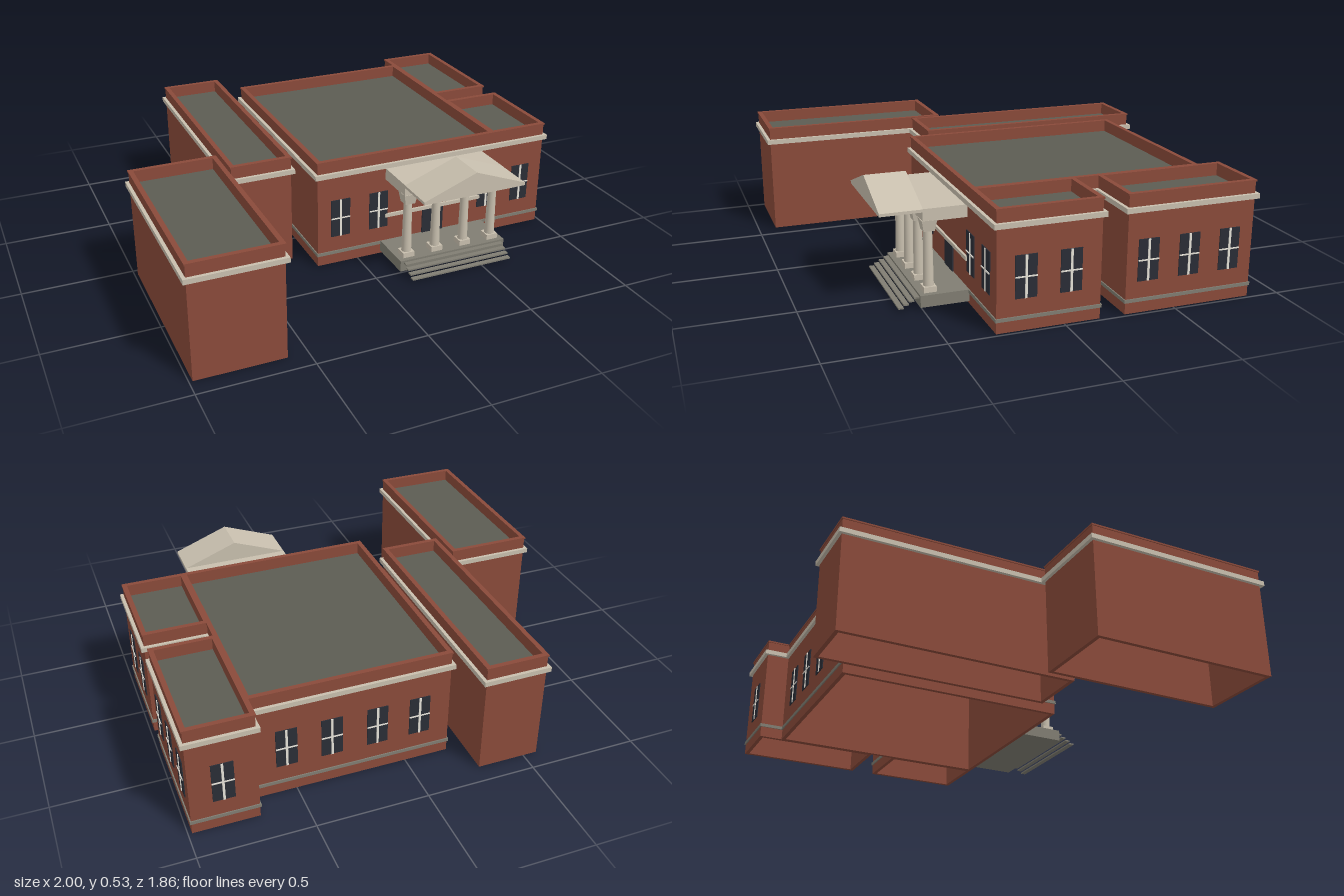
import * as THREE from 'three';

const mat = (name, color, side = THREE.FrontSide) => {
  const m = new THREE.MeshStandardMaterial({ color, side });
  m.name = name;
  return m;
};

export function createModel() {
  const brick = mat('brick red', 0x8a4a3a);
  const stone = mat('pale stone', 0xc8bfae);
  const grey = mat('grey stone', 0x807d72);
  const roofing = mat('roof grey', 0x5c5c52, THREE.DoubleSide);
  const glass = mat('dark glass', 0x2a2d36);
  const white = mat('window bars', 0xe8e4da);

  const model = new THREE.Group();
  model.name = 'columnedBuilding';

  const add = (parent, name, geometry, material, x = 0, y = 0, z = 0) => {
    const mesh = new THREE.Mesh(geometry, material);
    mesh.name = name;
    mesh.position.set(x, y, z);
    parent.add(mesh);
    return mesh;
  };
  // Box given by its limits on each axis
  const block = (parent, name, material, x0, x1, y0, y1, z0, z1) =>
    add(parent, name, new THREE.BoxGeometry(x1 - x0, y1 - y0, z1 - z0), material,
      (x0 + x1) / 2, (y0 + y1) / 2, (z0 + z1) / 2);

  // Rectangular frame around a footprint, from "inset" inside to "out" outside
  const ring = (parent, name, material, [x0, x1, z0, z1], inset, out, y0, y1) => {
    const rect = (Type, grow) => {
      const w = (x1 - x0) / 2 + grow, d = (z1 - z0) / 2 + grow;
      return new Type([[-w, -d], [w, -d], [w, d], [-w, d]].map(p => new THREE.Vector2(...p)));
    };
    const shape = rect(THREE.Shape, out);
    shape.holes.push(rect(THREE.Path, -inset));
    const g = new THREE.ExtrudeGeometry(shape, { depth: y1 - y0, bevelEnabled: false });
    g.rotateX(-Math.PI / 2);
    add(parent, name, g, material, (x0 + x1) / 2, y0, (z0 + z1) / 2);
  };

  // Wings: footprint [x0, x1, z0, z1] and whether a plinth band runs round it
  const wings = [
    ['farWing', [-0.985, -0.59, 0.035, 0.915], false],
    ['longWing', [-0.565, -0.283, -0.912, 0.182], false],
    ['mainHall', [-0.2, 0.7, -0.752, 0.295], true],
    ['rearSideWing', [0.694, 0.983, -0.86, -0.272], true],
    ['frontSideWing', [0.694, 0.983, -0.158, 0.295], true],
  ];
  for (const [name, foot, banded] of wings) {
    const wing = new THREE.Group();
    wing.name = name;
    model.add(wing);
    const [x0, x1, z0, z1] = foot;
    ring(wing, 'walls', brick, foot, 0.018, 0, 0, 0.515);
    ring(wing, 'coping', brick, foot, 0.018, 0.004, 0.515, 0.523);
    ring(wing, 'cornice', stone, foot, 0.005, 0.015, 0.443, 0.465);
    if (banded) ring(wing, 'plinthBand', grey, foot, 0.005, 0.005, 0.05, 0.065);
    const roof = new THREE.PlaneGeometry(x1 - x0 - 0.03, z1 - z0 - 0.03).rotateX(-Math.PI / 2);
    add(wing, 'flatRoof', roof, roofing, (x0 + x1) / 2, 0.468, (z0 + z1) / 2);
  }

  // Windows: dark pane with a cross of thin bars, facing +z before turning
  const addWindow = (x, z, turn) => {
    const w = new THREE.Group();
    w.name = 'window';
    block(w, 'pane', glass, -0.047, 0.047, -0.092, 0.092, -0.002, 0.004);
    block(w, 'uprightBar', white, -0.005, 0.005, -0.092, 0.092, 0.003, 0.007);
    block(w, 'crossBar', white, -0.047, 0.047, -0.003, 0.003, 0.003, 0.007);
    w.position.set(x, 0.232, z);
    w.rotation.y = turn;
    model.add(w);
  };
  for (const x of [-0.088, 0.104, 0.68, 0.867]) addWindow(x, 0.295, 0);
  for (const z of [0.17, -0.025, -0.37, -0.56, -0.75]) addWindow(0.983, z, Math.PI / 2);
  for (const x of [0.54, 0.34, 0.135, -0.06]) addWindow(x, -0.752, Math.PI);
  addWindow(0.84, -0.86, Math.PI);

  // Portico, centred on its own x = 0
  const portico = new THREE.Group();
  portico.name = 'portico';
  portico.position.x = 0.39;
  model.add(portico);
  block(portico, 'door', glass, -0.055, 0.055, 0.065, 0.188, 0.294, 0.301);
  block(portico, 'wallBand', stone, -0.252, 0.252, 0.188, 0.205, 0.29, 0.305);
  block(portico, 'platform', grey, -0.272, 0.272, 0.012, 0.065, 0.295, 0.51);
  // Open treads
  for (let i = 0; i < 4; i++) {
    const y = 0.056 - i * 0.013, z = 0.51 + i * 0.023;
    block(portico, 'stepTread', grey, -0.255, 0.255, y - 0.007, y, z, z + 0.023);
  }

  // Columns with square base and flared capital
  for (const x of [-0.22, -0.074, 0.074, 0.22]) {
    const column = new THREE.Group();
    column.name = 'column';
    column.position.set(x, 0, 0.46);
    portico.add(column);
    block(column, 'base', stone, -0.028, 0.028, 0.065, 0.09, -0.028, 0.028);
    add(column, 'shaft', new THREE.CylinderGeometry(0.019, 0.023, 0.25, 16), stone, 0, 0.215, 0);
    const capital = new THREE.CylinderGeometry(0.033 * Math.SQRT2, 0.024 * Math.SQRT2, 0.05, 4, 1)
      .rotateY(Math.PI / 4).toNonIndexed();
    capital.computeVertexNormals();
    add(column, 'capital', capital, stone, 0, 0.36, 0);
  }
  block(portico, 'entablature', stone, -0.252, 0.252, 0.382, 0.437, 0.295, 0.49);

  // Gable over the front
  const gable = new THREE.Shape([[-0.252, 0.423], [0.252, 0.423], [0.252, 0.436], [0, 0.531],
    [-0.252, 0.436]].map(p => new THREE.Vector2(...p)));
  add(portico, 'pediment',
    new THREE.ExtrudeGeometry(gable, { depth: 0.185, bevelEnabled: false }), stone, 0, 0, 0.487);

  return model;
}
